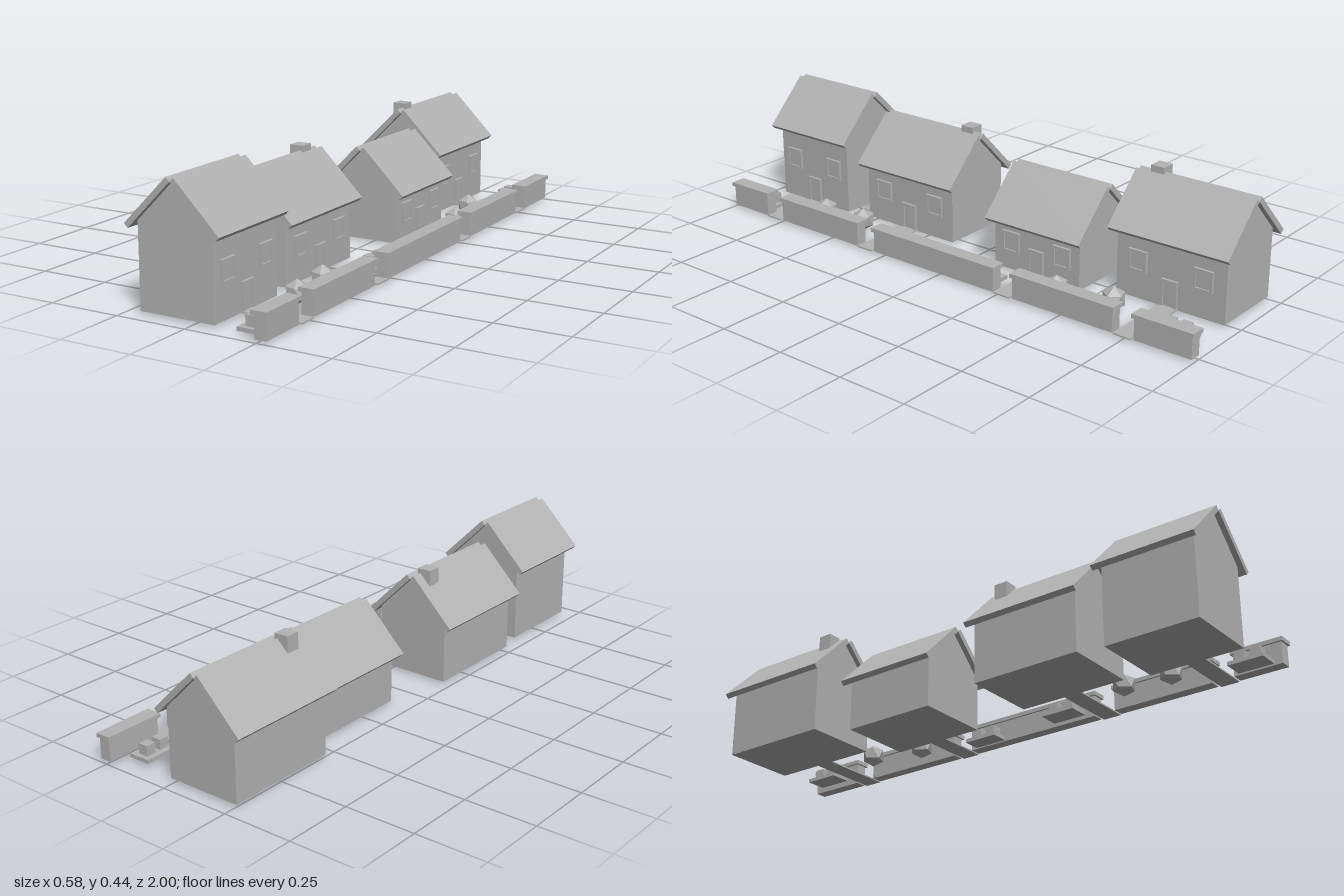
import * as THREE from 'three';

const stone = new THREE.MeshStandardMaterial({ color: 0xb3b3b3 });
stone.name = 'plain grey';

const GROUND = 0.008;
const HALF = 0.135; // half the depth of every house

// ridgeX / ridgeY: underside of the ridge; z: centre; length: wall length
const HOUSES = [
  { z: -0.747, ridgeX: -0.117, ridgeY: 0.383, length: 0.407, chimneyZ: -0.595, bed: [0.171, -0.873], bush: [0.13, -0.61] },
  { z: -0.277, ridgeX: -0.038, ridgeY: 0.328, length: 0.348, bed: [0.213, -0.152], bush: [0.173, -0.416] },
  { z: 0.329, ridgeX: -0.087, ridgeY: 0.362, length: 0.397, chimneyZ: 0.178, bed: [0.183, 0.199], bush: [0.145, 0.467] },
  { z: 0.781, ridgeX: -0.065, ridgeY: 0.424, length: 0.333, bed: [0.198, 0.902], bush: [0.159, 0.638] },
];

// Box given by its minimum and maximum corners
function block(parent, name, min, max) {
  const size = max.map((v, i) => v - min[i]);
  const mesh = new THREE.Mesh(new THREE.BoxGeometry(...size), stone);
  mesh.position.set(...max.map((v, i) => (v + min[i]) / 2));
  mesh.name = name;
  parent.add(mesh);
  return mesh;
}

// Raised surround with a recessed panel, on a wall facing +x
function opening(parent, name, x, y0, y1, z, width, bottomBar) {
  const group = new THREE.Group();
  group.name = name;
  const h = width / 2, t = 0.009, out = x + 0.01;
  block(group, name + 'Panel', [x - 0.002, y0, z - h + t], [x + 0.005, y1 - t, z + h - t]);
  for (const s of [-1, 1]) {
    const c = z + s * (h - t / 2);
    block(group, name + 'Jamb', [x - 0.002, y0, c - t / 2], [out, y1, c + t / 2]);
  }
  block(group, name + 'Head', [x - 0.002, y1 - t, z - h + t], [out, y1, z + h - t]);
  if (bottomBar) block(group, name + 'Sill', [x - 0.002, y0, z - h + t], [out, y0 + t, z + h - t]);
  parent.add(group);
}

function house({ z, ridgeX, ridgeY, length, chimneyZ }) {
  const group = new THREE.Group();
  group.name = 'house';
  const eave = ridgeY - HALF, front = ridgeX + HALF;

  // Walls with gables
  const section = new THREE.Shape([
    [ridgeX - HALF, GROUND], [front, GROUND], [front, eave],
    [ridgeX, ridgeY], [ridgeX - HALF, eave],
  ].map(p => new THREE.Vector2(...p)));
  const walls = new THREE.Mesh(
    new THREE.ExtrudeGeometry(section, { depth: length, bevelEnabled: false }), stone);
  walls.position.z = z - length / 2;
  walls.name = 'walls';
  group.add(walls);

  // Two roof slabs at 45 degrees, leaving a groove along the ridge
  const slope = 0.223, thick = 0.019, k = Math.SQRT1_2;
  for (const s of [-1, 1]) {
    const slab = new THREE.Mesh(new THREE.BoxGeometry(slope, thick, length + 0.038), stone);
    slab.position.set(
      ridgeX + s * k * (slope + thick) / 2,
      ridgeY + k * (thick - slope) / 2,
      z);
    slab.rotation.z = -s * Math.PI / 4;
    slab.name = 'roofSlab';
    group.add(slab);
  }

  if (chimneyZ !== undefined) {
    block(group, 'chimney',
      [ridgeX - 0.054, ridgeY - 0.08, chimneyZ - 0.025],
      [ridgeX - 0.003, ridgeY + 0.029, chimneyZ + 0.025]);
  }

  // Door in the middle, a window on either side
  opening(group, 'door', front, GROUND, 0.105, z, 0.06, false);
  const mid = GROUND + 0.545 * (eave - GROUND);
  for (const s of [-1, 1]) {
    opening(group, 'window', front, mid - 0.037, mid + 0.037, z + s * length * 0.3, 0.07, true);
  }
  return group;
}

function garden({ z, ridgeX, bed, bush }) {
  const group = new THREE.Group();
  group.name = 'garden';

  block(group, 'path', [ridgeX + HALF, GROUND, z - 0.033], [0.287, 0.013, z + 0.033]);

  // Planting bed with two square planters
  const [bx, bz] = bed;
  block(group, 'bed', [bx - 0.038, 0.012, bz - 0.063], [bx + 0.038, 0.025, bz + 0.063]);
  for (const s of [-1, 1]) {
    const c = bz + s * 0.028;
    block(group, 'planter', [bx - 0.019, 0.025, c - 0.018], [bx + 0.017, 0.06, c + 0.018]);
  }

  // Faceted bush with one corner pointing up
  const ball = new THREE.IcosahedronGeometry(0.0415, 0);
  ball.rotateZ(-Math.atan(2 / (1 + Math.sqrt(5))));
  const shrub = new THREE.Mesh(ball, stone);
  shrub.position.set(bush[0], 0.0415, bush[1]);
  shrub.name = 'bush';
  group.add(shrub);
  return group;
}

// Street wall with coping, open at every path
function streetWall() {
  const group = new THREE.Group();
  group.name = 'streetWall';
  const gap = 0.033, over = 0.007;
  const starts = [-1, ...HOUSES.map(h => h.z + gap)];
  const ends = [...HOUSES.map(h => h.z - gap), 1];
  starts.forEach((a, i) => {
    const b = ends[i];
    block(group, 'wallBody', [0.239, GROUND, a + over], [0.28, 0.083, b - over]);
    block(group, 'coping', [0.232, 0.083, a], [0.287, 0.097, b]);
  });
  return group;
}

export function createModel() {
  const model = new THREE.Group();
  model.name = 'terraceOfCottages';
  for (const h of HOUSES) model.add(house(h), garden(h));
  model.add(streetWall());
  return model;
}
